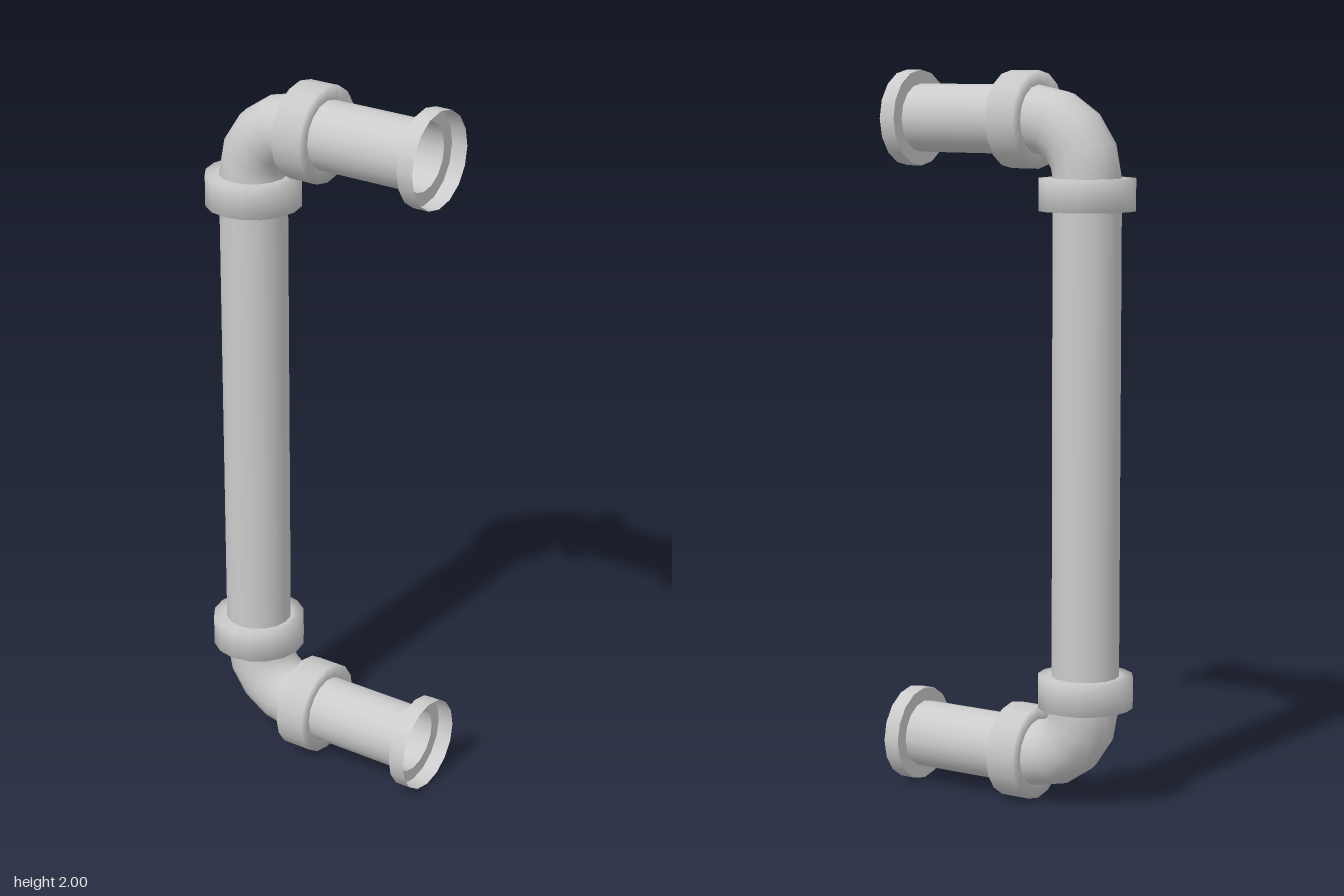
import * as THREE from 'three';

const SIDES = 16;
const PIPE_R = 0.093, COLLAR_R = 0.131;
const UPRIGHT_X = -0.225;   // axis of the vertical pipe
const BEND = 0.152;         // elbow centreline radius
const BEND_START = 0.717;   // height of the elbow start above or below mid height
const ARM = BEND_START + BEND;
const ARM_X = UPRIGHT_X + BEND;
const COLLAR_LEN = 0.086;
const FLANGE_X = 0.31, END_X = 0.356;

export function createModel() {
  const group = new THREE.Group();
  const material = new THREE.MeshStandardMaterial({ color: 0xcccccc, side: THREE.DoubleSide });

  const add = (name, geometry, x, y) => {
    const mesh = new THREE.Mesh(geometry, material);
    mesh.name = name;
    mesh.position.set(x, y, 0);
    group.add(mesh);
  };
  // Turned part from [radius, height] pairs
  const turned = (points) =>
    new THREE.LatheGeometry(points.map(([r, y]) => new THREE.Vector2(r, y)), SIDES);
  // Same, lying along +x
  const lying = (points) => turned(points).rotateZ(-Math.PI / 2);
  const tube = (length) => [[PIPE_R, 0], [PIPE_R, length]];

  const collar = [
    [PIPE_R, 0], [COLLAR_R, 0], [COLLAR_R, COLLAR_LEN], [PIPE_R, COLLAR_LEN],
  ];

  // Vertical pipe between the two collars
  const half = BEND_START - COLLAR_LEN;
  add('uprightPipe', turned(tube(2 * half)), UPRIGHT_X, 1 - half);

  // Upper and lower ends mirror each other
  for (const s of [1, -1]) {
    const end = s > 0 ? 'upper' : 'lower';
    const armY = 1 + s * ARM;

    add(end + 'UprightCollar', turned(collar), UPRIGHT_X, s > 0 ? 1 + half : 1 - BEND_START);

    // Quarter bend
    const elbow = new THREE.TorusGeometry(BEND, PIPE_R, SIDES, 4, Math.PI / 2);
    elbow.rotateZ(s > 0 ? Math.PI / 2 : Math.PI);
    add(end + 'Elbow', elbow, ARM_X, 1 + s * BEND_START);

    // Horizontal arm
    const armStart = ARM_X + COLLAR_LEN;
    add(end + 'ArmCollar', lying(collar), ARM_X, armY);
    add(end + 'ArmPipe', lying(tube(FLANGE_X - armStart)), armStart, armY);

    // Open socket: back ring and outer wall
    add(end + 'SocketBack', lying([[PIPE_R, 0], [COLLAR_R, 0]]), FLANGE_X, armY);
    add(end + 'SocketWall', lying([[COLLAR_R, 0], [COLLAR_R, END_X - FLANGE_X]]), FLANGE_X, armY);
  }
  return group;
}
